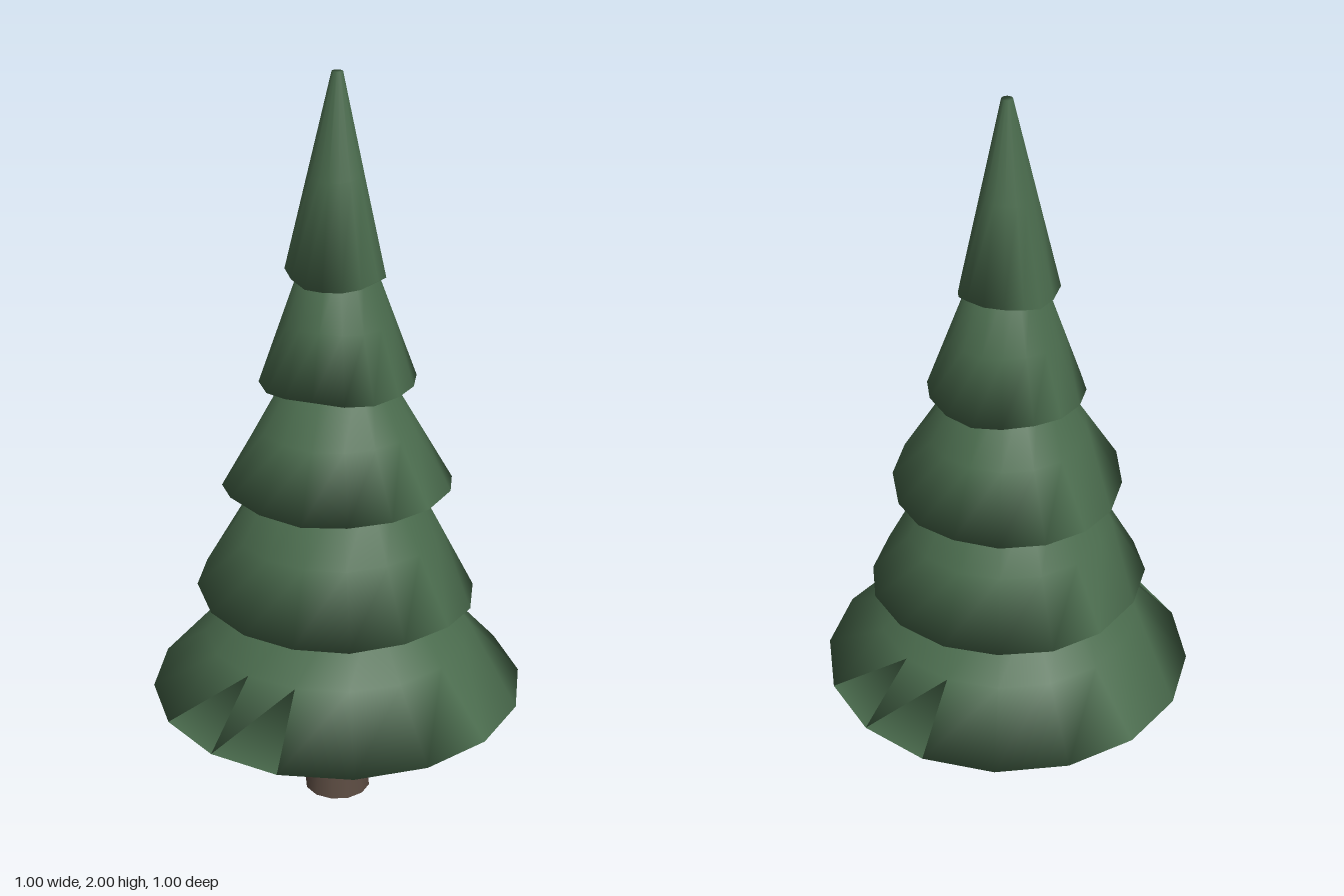
import * as THREE from 'three';

const SIDES = 16;
const leafMaterial = new THREE.MeshStandardMaterial({ color: 0x4a6b4d, roughness: 0.9 });
const barkMaterial = new THREE.MeshStandardMaterial({ color: 0x5c4c42, roughness: 0.9 });

// Uneven cone of foliage: rim, middle and top rings, closed at both ends.
// tiltX and tiltZ slope the rim, wave makes it ragged.
function createTier({ y0, r0, y1, r1, tiltX = 0, tiltZ = 0, wave = 0, phase = 0 }) {
  const positions = [];
  const index = [];
  const rings = 3;
  for (let k = 0; k < rings; k++) {
    const t = k / (rings - 1);
    const fade = 1 - t;
    for (let i = 0; i < SIDES; i++) {
      const a = (i / SIDES) * Math.PI * 2;
      const ragged = wave * (Math.sin(3 * a + phase) + 0.6 * Math.sin(5 * a + 2 * phase));
      const r = THREE.MathUtils.lerp(r0, r1, t) + 0.4 * fade * ragged;
      const y = THREE.MathUtils.lerp(y0, y1, t)
        + fade * (tiltX * Math.cos(a) + tiltZ * Math.sin(a) + ragged);
      positions.push(r * Math.cos(a), y, r * Math.sin(a));
    }
  }
  // Sloping sides
  for (let k = 0; k < rings - 1; k++) {
    for (let i = 0; i < SIDES; i++) {
      const a = k * SIDES + i;
      const b = k * SIDES + (i + 1) % SIDES;
      index.push(a, a + SIDES, b, b, a + SIDES, b + SIDES);
    }
  }
  // Underside and tip share the ring corners, so the edges shade softly
  const top = (rings - 1) * SIDES;
  for (let i = 0; i < SIDES / 2; i++) {
    const strip = [i, i + 1, SIDES - 1 - i, (SIDES - i) % SIDES];
    const [a, b, c, d] = strip;
    if (b !== c && a !== d) {
      index.push(a, b, c, a, c, d);
      index.push(top + a, top + c, top + b, top + a, top + d, top + c);
    } else if (a === d) {
      index.push(a, b, c, top + a, top + c, top + b);
    }
  }
  // Last corner of the strip, opposite the first
  const h = SIDES / 2;
  index.push(h - 1, h, h + 1, top + h - 1, top + h + 1, top + h);

  const geometry = new THREE.BufferGeometry();
  geometry.setAttribute('position', new THREE.Float32BufferAttribute(positions, 3));
  geometry.setIndex(index);
  geometry.computeVertexNormals();
  return geometry;
}

export function createModel() {
  const tree = new THREE.Group();
  tree.name = 'firTree';

  // Tapered trunk
  const trunk = new THREE.Mesh(new THREE.CylinderGeometry(0.06, 0.09, 0.36, 12), barkMaterial);
  trunk.name = 'trunk';
  trunk.position.y = 0.18;
  tree.add(trunk);

  // Foliage, from the lowest tier up
  const tiers = [
    { y0: 0.335, r0: 0.5, y1: 0.66, r1: 0.21, tiltX: -0.006, tiltZ: -0.007 },
    { y0: 0.622, r0: 0.37, y1: 0.97, r1: 0.18, tiltX: -0.01, wave: 0.007, phase: 0.6 },
    { y0: 0.925, r0: 0.302, y1: 1.25, r1: 0.115, tiltX: 0.004, tiltZ: 0.004, wave: 0.008, phase: 2.2 },
    { y0: 1.212, r0: 0.203, y1: 1.54, r1: 0.085, wave: 0.006, phase: 4 },
    { y0: 1.495, r0: 0.127, y1: 2, r1: 0.014, tiltX: -0.008, tiltZ: -0.008, wave: 0.009, phase: 1.2 },
  ];
  tiers.forEach((tier, i) => {
    const mesh = new THREE.Mesh(createTier(tier), leafMaterial);
    mesh.name = `foliageTier${i + 1}`;
    tree.add(mesh);
  });

  return tree;
}
